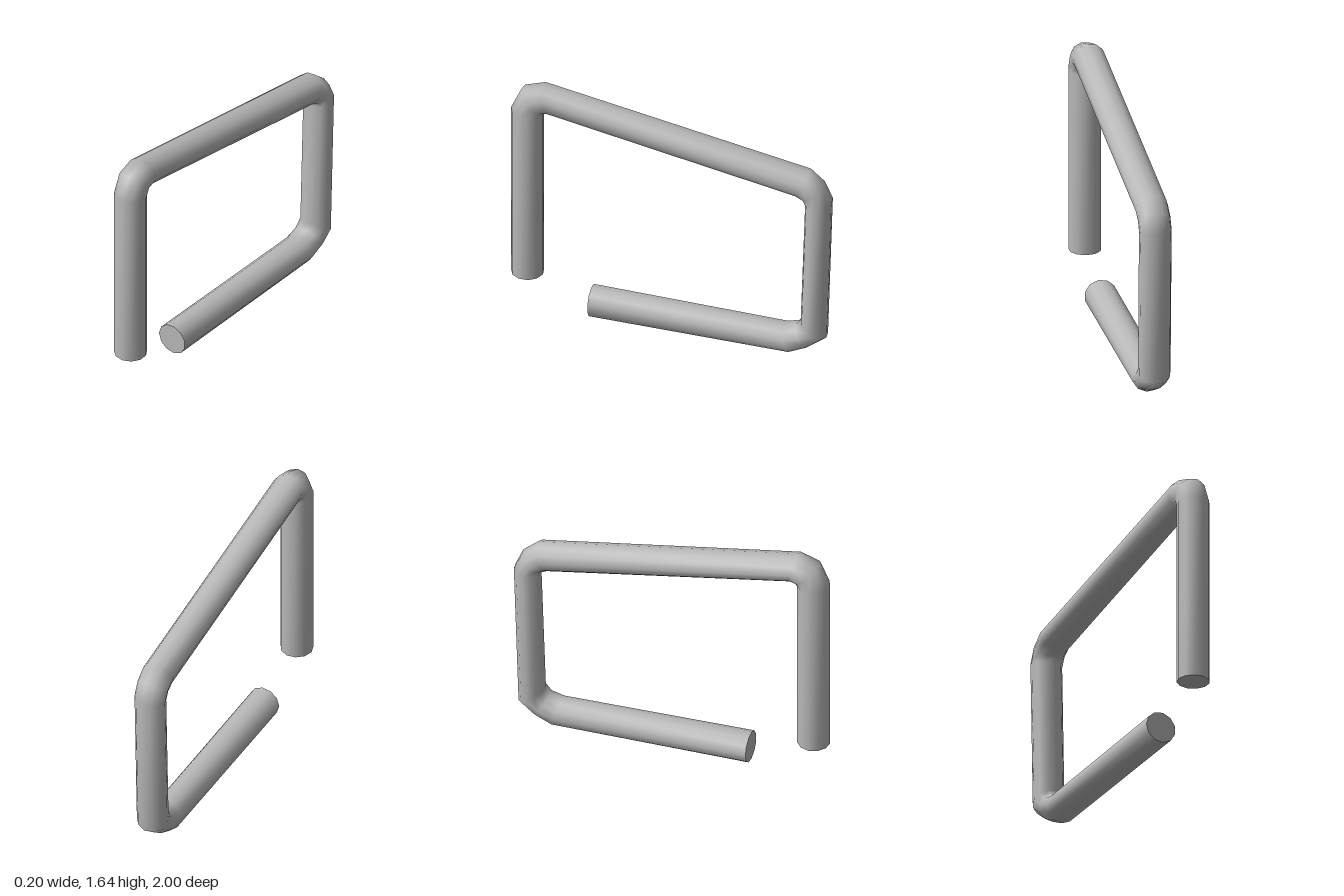
import * as THREE from 'three';

const SIDES = 11;
const HALF_WIDTH = 0.1;

// Cross-sections along the bent bar: [outer z, outer y, inner z, inner y]
const SECTIONS = [
  [1.0, 0.265, 0.8, 0.265],
  [1.0, 1.45, 0.8, 1.43],
  [0.935, 1.595, 0.79, 1.448],
  [0.8, 1.64, 0.76, 1.453],
  [-0.86, 1.32, -0.78, 1.147],
  [-0.95, 1.24, -0.818, 1.13],
  [-1.0, 1.125, -0.835, 1.1],
  [-0.97, 0.14, -0.807, 0.24],
  [-0.865, 0.06, -0.778, 0.2],
  [-0.75, 0.003, -0.7, 0.185],
  [0.5, 0.028, 0.5, 0.226],
];

// Points of one ring, with a corner on the -x side
function ring([oz, oy, iz, iy]) {
  return Array.from({ length: SIDES }, (_, j) => {
    const a = Math.PI + (j / SIDES) * Math.PI * 2;
    const s = Math.sin(a) / 2;
    return [
      Math.cos(a) * HALF_WIDTH,
      (oy + iy) / 2 + (oy - iy) * s,
      (oz + iz) / 2 + (oz - iz) * s,
    ];
  });
}

function makeGeometry(points, index) {
  const g = new THREE.BufferGeometry();
  g.setAttribute('position', new THREE.Float32BufferAttribute(points.flat(), 3));
  g.setIndex(index);
  g.computeVertexNormals();
  return g;
}

// Smooth wall joining all rings
function barWall() {
  const index = [];
  for (let i = 0; i < SECTIONS.length - 1; i++) {
    for (let j = 0; j < SIDES; j++) {
      const k = (j + 1) % SIDES;
      const a = i * SIDES + j, b = i * SIDES + k;
      index.push(a, a + SIDES, b, a + SIDES, b + SIDES, b);
    }
  }
  return makeGeometry(SECTIONS.flatMap(ring), index);
}

// Flat end face closing a ring
function endCap(section, flip) {
  const index = [];
  for (let j = 1; j < SIDES - 1; j++) {
    index.push(0, ...(flip ? [j + 1, j] : [j, j + 1]));
  }
  return makeGeometry(ring(section), index);
}

export function createModel() {
  const group = new THREE.Group();
  group.name = 'bentBar';
  const grey = new THREE.MeshStandardMaterial({ color: 0xb8b8b8 });
  grey.name = 'grey';

  const add = (name, geometry) => {
    const mesh = new THREE.Mesh(geometry, grey);
    mesh.name = name;
    group.add(mesh);
  };
  add('bar', barWall());
  add('postEnd', endCap(SECTIONS[0], false));
  add('footEnd', endCap(SECTIONS[SECTIONS.length - 1], true));
  return group;
}
